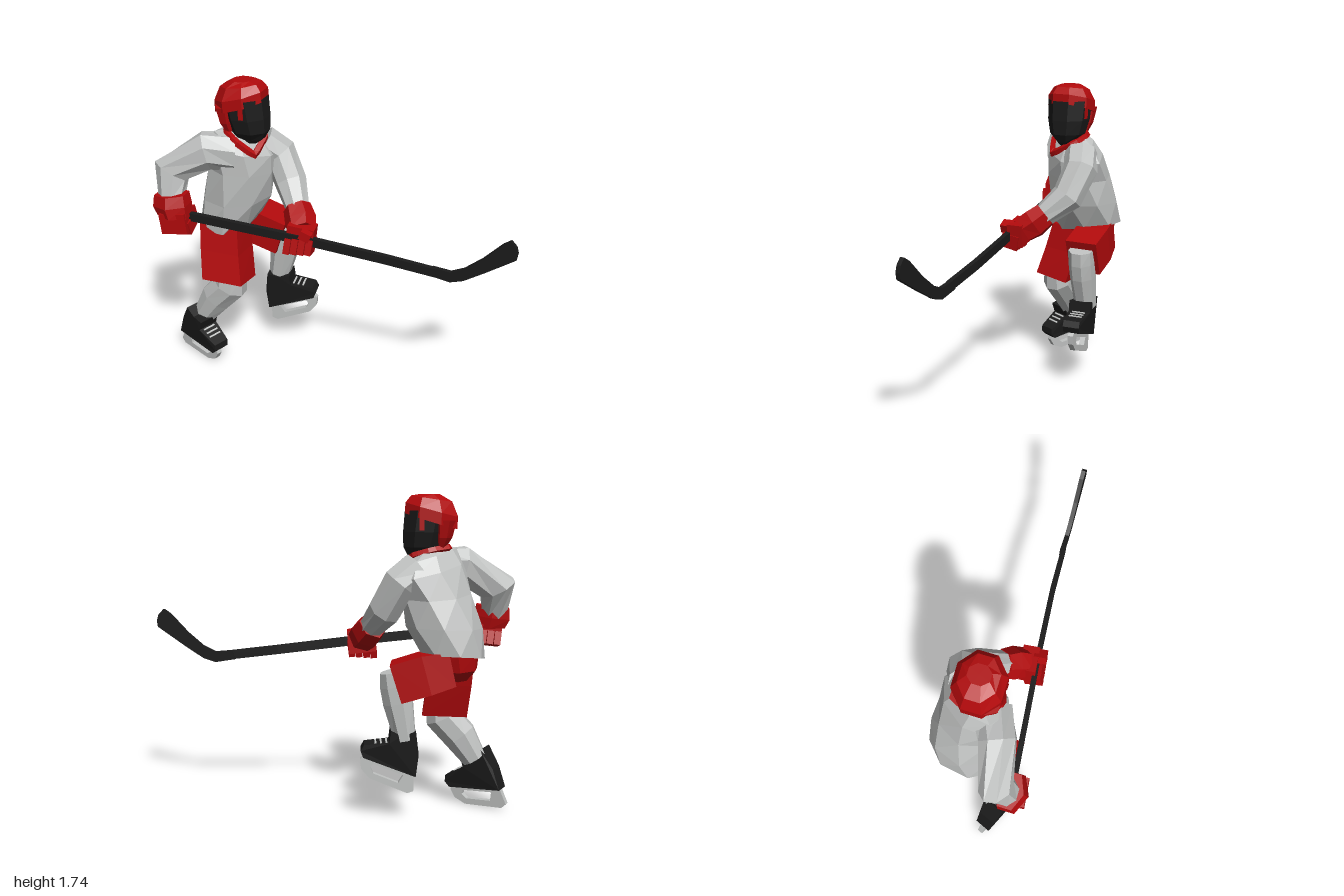
import * as THREE from 'three';

const V = (x, y, z) => new THREE.Vector3(x, y, z);

function material(name, color) {
  const m = new THREE.MeshStandardMaterial({ color });
  m.name = name;
  return m;
}

// Faceted skin over a list of rings (arrays of Vector3), closed at both ends
function loft(rings) {
  const pos = [], n = rings[0].length;
  const tri = (a, b, c) => [a, b, c].forEach(p => pos.push(p.x, p.y, p.z));
  const mid = r => r.reduce((s, p) => s.add(p), V(0, 0, 0)).divideScalar(n);
  const first = rings[0], last = rings[rings.length - 1];
  const c0 = mid(first), c1 = mid(last);
  for (let j = 0; j < n; j++) {
    const k = (j + 1) % n;
    for (let i = 0; i < rings.length - 1; i++) {
      const a = rings[i], b = rings[i + 1];
      tri(a[j], a[k], b[k]);
      tri(a[j], b[k], b[j]);
    }
    tri(c0, first[k], first[j]);
    tri(c1, last[j], last[k]);
  }
  const g = new THREE.BufferGeometry();
  g.setAttribute('position', new THREE.Float32BufferAttribute(pos, 3));
  g.computeVertexNormals();
  return g;
}

function ring(c, s, v, rs, rv, n) {
  const k = 1 / Math.cos(Math.PI / n);
  return Array.from({ length: n }, (_, j) => {
    const t = (j + 0.5) / n * Math.PI * 2;
    return c.clone().addScaledVector(s, rs * k * Math.cos(t)).addScaledVector(v, rv * k * Math.sin(t));
  });
}

// Level rings from bottom to top: [x, y, z, half length, half width, yaw, forward slope, side slope]
function stack(rows, n = 8) {
  return loft(rows.map(([x, y, z, a, b, yaw = 0, tf = 0, ts = 0]) => {
    const w = yaw * Math.PI / 180;
    return ring(V(x, y, z), V(Math.cos(w), tf, Math.sin(w)), V(Math.sin(w), ts, -Math.cos(w)), a, b, n);
  }));
}

// Limb along a path: [x, y, z, radius in the side plane, radius across]
function limb(rows, n = 8) {
  const p = rows.map(r => V(r[0], r[1], r[2]));
  return loft(rows.map((r, i) => {
    const t = V(0, 0, 0);
    if (i > 0) t.add(p[i].clone().sub(p[i - 1]).normalize());
    if (i < p.length - 1) t.add(p[i + 1].clone().sub(p[i]).normalize());
    t.normalize();
    const s = V(0, 0, 1).cross(t).normalize();
    return ring(p[i], s, t.clone().cross(s), r[3], r[4] ?? r[3], n);
  }));
}

// Flat outline given depth, centred on z
function plate(points, depth, hole) {
  const toPath = a => a.map(q => new THREE.Vector2(q[0], q[1]));
  const shape = new THREE.Shape(toPath(points));
  if (hole) shape.holes.push(new THREE.Path(toPath(hole)));
  return new THREE.ExtrudeGeometry(shape, { depth, bevelEnabled: false }).translate(0, 0, -depth / 2);
}

export function createModel() {
  const red = material('red', 0xb20a0c);
  const white = material('jersey grey', 0xc0c2c1);
  const black = material('black', 0x1b1b1b);
  const model = new THREE.Group();
  model.name = 'hockeyPlayer';

  function add(name, geo, mat, parent = model) {
    const m = new THREE.Mesh(geo, mat);
    m.name = name;
    parent.add(m);
    return m;
  }
  function box(name, mat, size, at, rot = [0, 0, 0], parent = model) {
    const m = add(name, new THREE.BoxGeometry(...size), mat, parent);
    m.position.set(...at);
    m.rotation.set(...rot);
  }

  // Jersey, twisting from hips to shoulders
  add('jersey', stack([
    [-0.69, 0.89, -0.09, 0.155, 0.19, 8, 0, 0.17],
    [-0.635, 1.05, -0.085, 0.188, 0.19, 20, 0, 0.05],
    [-0.59, 1.22, -0.07, 0.168, 0.18, 30, 0, -0.1],
    [-0.56, 1.35, -0.06, 0.135, 0.2, 38, -0.1, -0.2],
    [-0.56, 1.425, -0.05, 0.09, 0.16, 38, -0.2, -0.2],
    [-0.565, 1.455, -0.04, 0.055, 0.08, 38, -0.3, -0.1]]), white);
  add('rightSleeve', limb([
    [-0.59, 1.35, 0.03, 0.1], [-0.72, 1.365, 0.1, 0.1, 0.09],
    [-0.915, 1.24, 0.15, 0.098, 0.08], [-0.9, 1.09, 0.205, 0.068, 0.06]]), white);
  add('leftSleeve', limb([
    [-0.49, 1.36, -0.13, 0.09], [-0.405, 1.29, -0.17, 0.09],
    [-0.325, 1.14, -0.13, 0.085], [-0.215, 1.0, 0.01, 0.055]]), white);

  // V-shaped collar
  const neckline = new THREE.CatmullRomCurve3([
    V(-0.465, 1.35, 0.04), V(-0.56, 1.43, 0.075), V(-0.63, 1.46, 0.03),
    V(-0.65, 1.465, -0.06), V(-0.57, 1.455, -0.125), V(-0.455, 1.42, -0.1)], true, 'catmullrom', 0.1);
  const collar = new THREE.TubeGeometry(neckline, 24, 0.022, 5, true).toNonIndexed();
  collar.computeVertexNormals();
  add('collar', collar, red);

  // Head and helmet
  add('face', stack([
    [-0.545, 1.39, -0.03, 0.06, 0.05], [-0.52, 1.425, -0.03, 0.085, 0.06],
    [-0.512, 1.47, -0.03, 0.1, 0.093], [-0.525, 1.55, -0.03, 0.115, 0.11],
    [-0.54, 1.66, -0.03, 0.122, 0.116]]), black);
  add('helmet', stack([
    [-0.555, 1.605, -0.03, 0.137, 0.122, 0, 0.3], [-0.557, 1.665, -0.03, 0.136, 0.122, 0, 0.27],
    [-0.555, 1.722, -0.03, 0.106, 0.092, 0, 0.15], [-0.545, 1.745, -0.03, 0.05, 0.055]]), red);
  add('helmetNape', stack([
    [-0.612, 1.465, -0.03, 0.022, 0.075], [-0.622, 1.52, -0.03, 0.045, 0.1],
    [-0.63, 1.61, -0.03, 0.06, 0.117]]), red);
  for (const s of [-1, 1]) box('earGuard', red, [0.026, 0.08, 0.02], [-0.512, 1.6, -0.03 + s * 0.11]);

  // Shorts
  add('shortsSeat', stack([
    [-0.69, 0.77, -0.09, 0.07, 0.08], [-0.69, 0.83, -0.09, 0.12, 0.14, 5],
    [-0.685, 0.92, -0.09, 0.13, 0.16, 8]]), red);
  add('rightShortsLeg', stack([
    [-0.645, 0.565, 0.075, 0.122, 0.1, 0, 0, -0.18],
    [-0.67, 0.74, 0.03, 0.118, 0.098, 0, 0, -0.1],
    [-0.685, 0.9, -0.005, 0.115, 0.095]], 4), red);
  add('leftShortsLeg', limb([
    [-0.68, 0.85, -0.18, 0.09, 0.085], [-0.55, 0.82, -0.195, 0.105, 0.098],
    [-0.395, 0.77, -0.2, 0.104, 0.096]], 4), red);

  // Socks
  add('rightSock', limb([
    [-0.625, 0.61, 0.08, 0.085, 0.075], [-0.635, 0.52, 0.08, 0.095, 0.085],
    [-0.73, 0.42, 0.075, 0.09, 0.08], [-0.815, 0.29, 0.075, 0.065]]), white);
  add('leftSock', limb([
    [-0.37, 0.825, -0.2, 0.062, 0.07], [-0.385, 0.75, -0.2, 0.075, 0.072],
    [-0.405, 0.66, -0.2, 0.078, 0.07], [-0.445, 0.46, -0.2, 0.055, 0.06]]), white);

  // Skates: heel of the sole at the group origin, toe along x
  function skate(name, at, yaw, pitch) {
    const g = new THREE.Group();
    g.name = name;
    g.position.set(...at);
    g.rotation.set(0, yaw, pitch, 'YZX');
    const boot = plate([[0, 0], [0.3, 0], [0.325, 0.03], [0.32, 0.068], [0.2, 0.125],
      [0.215, 0.185], [0.15, 0.195], [0.09, 0.232], [0.03, 0.12]], 0.13);
    const p = boot.attributes.position;
    for (let i = 0; i < p.count; i++) {
      const taper = p.getX(i) > 0.25 ? 0.75 : p.getX(i) < 0.05 ? 0.72 : 1;
      p.setZ(i, p.getZ(i) * taper);
    }
    boot.computeVertexNormals();
    add('boot', boot, black, g);
    add('blade', plate([[0.01, 0.005], [-0.022, -0.085], [0.005, -0.108], [0.225, -0.102], [0.285, -0.068],
      [0.308, -0.02], [0.295, 0.005]], 0.032,
    [[0.06, -0.022], [0.07, -0.072], [0.215, -0.07], [0.24, -0.045], [0.235, -0.022]]), white, g);
    for (let i = 0; i < 3; i++) {
      box('lace', white, [0.01, 0.008, 0.08], [0.213 + i * 0.026, 0.12 - i * 0.0125, 0], [0, 0, -0.45], g);
    }
    model.add(g);
  }
  skate('rightSkate', [-0.972, 0.127, 0.053], -0.4, -0.09);
  skate('leftSkate', [-0.5, 0.26, -0.185], 0.13, 0.36);

  // Stick
  add('stickShaft', limb([
    [-0.86, 1.012, 0.215, 0.024, 0.014], [-0.08, 0.925, 0.125, 0.025, 0.014],
    [0.3, 0.876, 0.088, 0.025, 0.014], [0.58, 0.84, 0.073, 0.025, 0.013]], 4), black);
  const blade = plate([[0.545, 0.818], [0.66, 0.798], [0.73, 0.82], [0.84, 0.89], [0.995, 0.995], [1, 1.03],
    [0.99, 1.065], [0.96, 1.097], [0.92, 1.07], [0.82, 0.965], [0.73, 0.89], [0.66, 0.858], [0.56, 0.868]], 0.024);
  add('stickBlade', blade, black).position.z = 0.068;

  // Right glove: hand, cuff and curled fingers
  add('rightCuff', stack([
    [-0.875, 1.01, 0.225, 0.088, 0.07], [-0.89, 1.07, 0.22, 0.098, 0.075, 0, 0.12],
    [-0.895, 1.13, 0.21, 0.09, 0.065, 0, 0.12]], 6), red);
  box('rightHand', red, [0.15, 0.12, 0.11], [-0.865, 0.98, 0.235], [0, 0.11, 0.1]);
  for (let i = 0; i < 4; i++) {
    box('rightFinger', red, [0.036, 0.075, 0.11], [-0.92 + i * 0.04, 0.945 + i * 0.004, 0.215 - i * 0.005], [0.25, 0.11, 0.1]);
  }
  box('rightThumb', red, [0.05, 0.08, 0.06], [-0.81, 1.0, 0.17], [0, 0.11, 0.2]);

  // Left glove
  add('leftCuff', limb([
    [-0.25, 1.04, -0.03, 0.07, 0.065], [-0.21, 0.99, 0.02, 0.08, 0.073],
    [-0.18, 0.955, 0.07, 0.07, 0.07]], 6), red);
  box('leftHand', red, [0.15, 0.13, 0.09], [-0.175, 0.94, 0.095], [0, 0.11, -0.12]);
  for (let i = 0; i < 4; i++) {
    box('leftFinger', red, [0.036, 0.085, 0.1], [-0.235 + i * 0.04, 0.89 + i * 0.002, 0.135 - i * 0.005], [-0.2, 0.11, -0.1]);
  }
  box('leftThumb', red, [0.06, 0.05, 0.07], [-0.13, 0.975, 0.145], [0, 0.11, -0.4]);

  return model;
}
